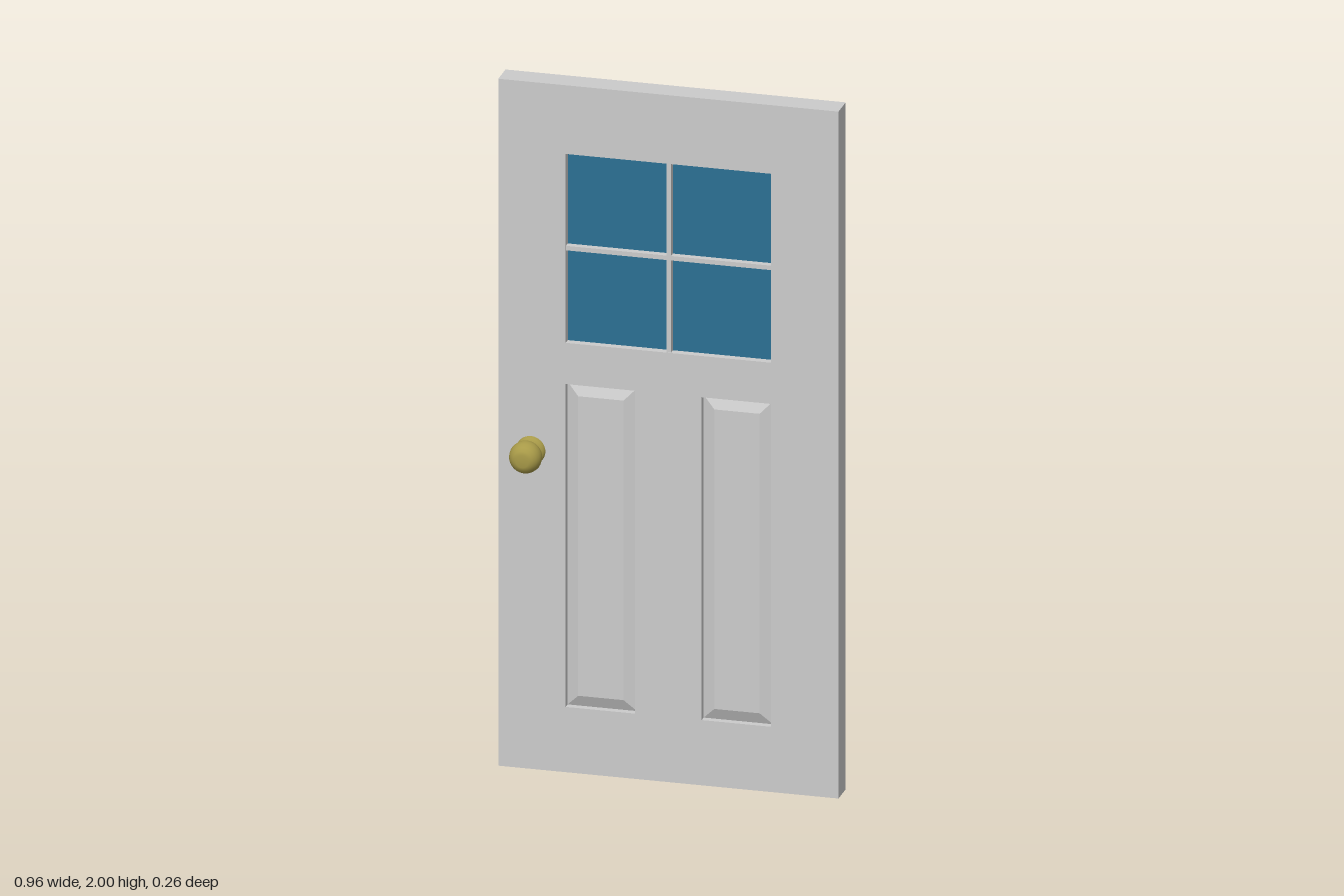
import * as THREE from 'three';

const HALF = 0.037; // half the door thickness

const grey = new THREE.MeshStandardMaterial({ color: 0xcccccc });
const glass = new THREE.MeshStandardMaterial({ color: 0x2c7093 });
const brass = new THREE.MeshStandardMaterial({ color: 0xa89a48 });

function add(parent, name, geometry, material, x = 0, y = 0, z = 0) {
  const mesh = new THREE.Mesh(geometry, material);
  mesh.name = name;
  mesh.position.set(x, y, z);
  parent.add(mesh);
  return mesh;
}

function rectPath(path, x0, y0, x1, y1) {
  path.moveTo(x0, y0).lineTo(x1, y0).lineTo(x1, y1).lineTo(x0, y1).closePath();
  return path;
}

// Box whose front and back faces are drawn in, giving sloped borders all round
function raisedPanel(w, h, edge, face, bevel) {
  const box = new THREE.BoxGeometry(w, h, 3, 1, 1, 3);
  const pos = box.attributes.position;
  for (let i = 0; i < pos.count; i++) {
    const z = pos.getZ(i);
    const outer = Math.abs(z) > 1;
    const inset = outer ? bevel : 0;
    pos.setXYZ(i,
      Math.sign(pos.getX(i)) * (w / 2 - inset),
      Math.sign(pos.getY(i)) * (h / 2 - inset),
      Math.sign(z) * (outer ? face : edge));
  }
  const flat = box.toNonIndexed();
  flat.computeVertexNormals();
  return flat;
}

export function createModel() {
  const door = new THREE.Group();
  door.name = 'door';

  // Slab with openings for the window and the two lower panels
  const outline = rectPath(new THREE.Shape(), -0.48, 0, 0.48, 2);
  outline.holes.push(rectPath(new THREE.Path(), -0.29, 1.25, 0.29, 1.8));
  for (const s of [-1, 1]) {
    outline.holes.push(rectPath(new THREE.Path(), s * 0.192 - 0.098, 0.19, s * 0.192 + 0.098, 1.13));
  }
  const slab = new THREE.ExtrudeGeometry(outline, { depth: 2 * HALF, bevelEnabled: false });
  add(door, 'slab', slab, grey, 0, 0, -HALF);

  // Raised panels, their borders sunk below the slab surface
  for (const s of [-1, 1]) {
    add(door, s > 0 ? 'leftPanel' : 'rightPanel',
      raisedPanel(0.196, 0.94, 0.017, 0.032, 0.034), grey, s * 0.192, 0.66);
  }

  // Window glass and crossing glazing bars
  add(door, 'windowGlass', new THREE.BoxGeometry(0.58, 0.55, 0.03), glass, 0, 1.525);
  add(door, 'verticalBar', new THREE.BoxGeometry(0.013, 0.55, 0.07), grey, 0, 1.525);
  add(door, 'horizontalBar', new THREE.BoxGeometry(0.58, 0.013, 0.069), grey, 0, 1.525);

  // Knob with rose and spindle, as one turned profile, on both faces
  const profile = [
    [0.041, 0.03], [0.041, 0.038], [0.037, 0.046], [0.028, 0.053], [0.015, 0.056], [0.015, 0.058],
    [0.026, 0.06], [0.037, 0.068], [0.043, 0.078], [0.0455, 0.092], [0.043, 0.106],
    [0.037, 0.118], [0.028, 0.126], [0.018, 0.13], [0, 0.13],
  ].map(([r, z]) => new THREE.Vector2(r, z));
  const knob = new THREE.LatheGeometry(profile, 32).rotateX(Math.PI / 2);
  add(door, 'frontKnob', knob, brass, -0.388, 0.928);
  add(door, 'backKnob', knob, brass, -0.388, 0.928).rotation.y = Math.PI;

  return door;
}
